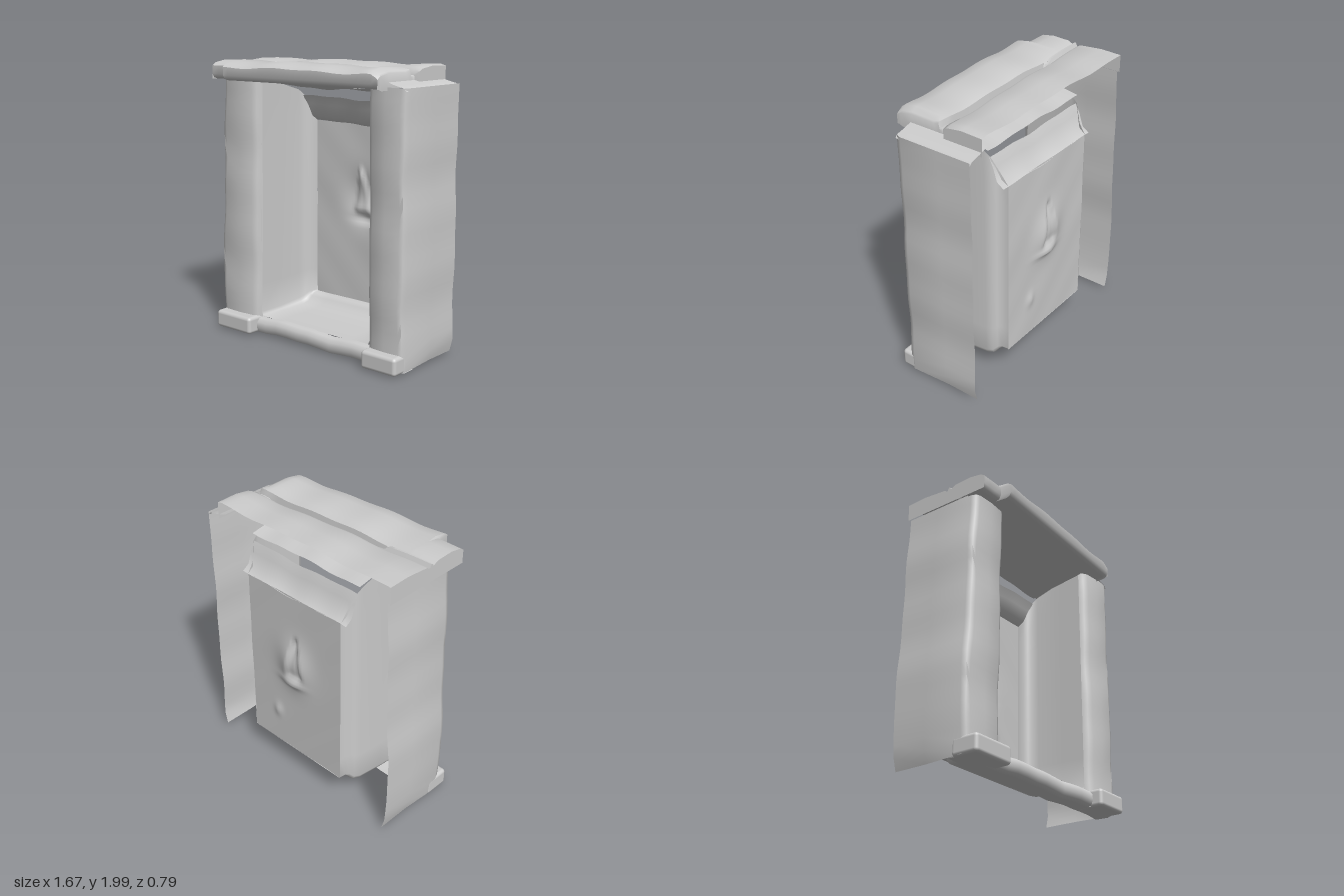
import * as THREE from 'three';
import { toCreasedNormals } from 'three/addons/utils/BufferGeometryUtils.js';
import { RoundedBoxGeometry } from 'three/addons/geometries/RoundedBoxGeometry.js';

const stone = new THREE.MeshStandardMaterial({ color: 0xcccccc, side: THREE.DoubleSide });
const lerp = THREE.MathUtils.lerp;
const smooth = THREE.MathUtils.smoothstep;

// Skin a list of equal-length point rows
function loft(name, rows, crease = 0.9) {
  const n = rows[0].length, index = [];
  for (let i = 0; i < rows.length - 1; i++) {
    for (let j = 0; j < n - 1; j++) {
      const a = i * n + j, b = a + n;
      index.push(a, b, a + 1, b, b + 1, a + 1);
    }
  }
  const g = new THREE.BufferGeometry();
  g.setAttribute('position', new THREE.Float32BufferAttribute(rows.flat(2), 3));
  g.setIndex(index);
  g.computeVertexNormals();
  const mesh = new THREE.Mesh(toCreasedNormals(g, crease), stone);
  mesh.name = name;
  return mesh;
}

const range = (a, b, n) => Array.from({ length: n + 1 }, (_, i) => lerp(a, b, i / n));
const wave = (t, s) => 0.006 * Math.sin(t * 7 + s) + 0.004 * Math.sin(t * 15 + s * 2.3);

// Upright: outer wall wrapping round to the front face and its inner edge
function pillar(name, outerAt, innerAt, seed) {
  return loft(name, range(0.02, 1.86, 22).map(y => {
    const o = outerAt(y) + wave(y, seed) * 0.8, i = innerAt(y), d = Math.sign(o);
    const f = 0.235 + wave(y, seed + 1) * 0.7;
    const tuck = 0.02 * (1 - smooth(y, 0.02, 0.09));
    return [[o - d * tuck, y, -0.35], [o - d * tuck, y, -0.1], [o, y, 0.19], [o - d * 0.012, y, 0.225],
      [o - d * 0.04, y, f], [(o + i) / 2, y, f + 0.005], [i + d * 0.05, y, f - 0.005],
      [i + d * 0.015, y, f - 0.025], [i, y, 0.17]];
  }), 1.1);
}

// Roof: back slab, groove and projecting front lintel in one profile
function roof() {
  const profile = x => {
    const t = (x + 0.45) / 1.0;
    const groove = 0.09 * smooth(x, -0.47, -0.38) * (1 - 0.35 * smooth(x, 0.55, 0.6));
    const back = lerp(-0.015, -0.055, t), front = lerp(0.025, 0.005, t);
    const f = x < -0.615 ? 0.32 : lerp(0.4, 0.34, (x + 0.61) / 1.29);
    const top = 1.975 + wave(x, 2);
    const end = 0.03 * smooth(x, 0.62, 0.69);
    return [[x, top, -0.355], [x, top + 0.005, -0.2], [x, top - 0.01, back - 0.03],
      [x, top - 0.025, back], [x, top - groove, back + 0.012], [x, top - groove, front - 0.012],
      [x, top - 0.02, front], [x, top - end, front + 0.04], [x, top + 0.005 - end, f - 0.12],
      [x, top - 0.01 - end, f - 0.03], [x, top - 0.03 - end, f], [x, 1.885, f],
      [x, 1.86, f - 0.015], [x, 1.85, f - 0.04], [x, 1.85, 0.17]];
  };
  const flat = row => row.map(([x, , z]) => [x, 1.85, z]);
  const xs = [...range(-0.8, -0.62, 3), ...range(-0.61, 0.68, 30)];
  const rows = xs.map(profile);
  // Right end: the slab runs a little past the lintel
  const last = profile(0.68).map(([x, y, z], k) => [k < 4 ? 0.72 : x + 0.01, y - 0.01, z]);
  return loft('roofSlabAndLintel', [flat(rows[0]), ...rows, last, flat(last)], 0.8);
}

// Recess walls: U-shaped rings narrowing towards the back panel
function recess() {
  const rings = [
    [0.18, -0.46, 0.52, 0.13, 1.85, 0.03], [0.0, -0.455, 0.52, 0.135, 1.82, 0.03],
    [-0.2, -0.45, 0.515, 0.145, 1.76, 0.04], [-0.25, -0.44, 0.505, 0.16, 1.72, 0.04],
    [-0.275, -0.42, 0.485, 0.195, 1.66, 0.03], [-0.3, -0.405, 0.465, 0.215, 1.6, 0.015],
    [-0.35, -0.4, 0.46, 0.22, 1.53, 0.01],
  ];
  return loft('recessWalls', rings.map(([z, l, r, b, t, c]) => {
    const row = range(t, b + c, 8).map(y => [l - 0.02 * (1 - y / 1.85) * (z + 0.35) / 0.5, y, z]);
    const l0 = row[8][0];
    row.push([l0 + c * 0.3, b + c * 0.3, z]);
    range(l0 + c, r - c, 6).forEach(x => row.push([x, b, z]));
    row.push([r - c * 0.3, b + c * 0.3, z]);
    range(b + c, t, 8).forEach(y => row.push([r, y, z]));
    return row;
  }), 1.0);
}

// Back panel with a face-like hollow pressed out to the rear
function panel() {
  const bell = (x, y, cx, cy, w, h) => Math.exp(-(((x - cx) / w) ** 2) - (((y - cy) / h) ** 2));
  const depth = (x, y) => {
    const mound = 0.052 * bell(x, y, 0.03, 0.98, 0.13, 0.17);
    const half = 0.015 + 0.06 * THREE.MathUtils.clamp((1.2 - y) / 0.32, 0, 1);
    const nose = 0.03 * (1 - smooth(Math.abs(x - 0.02), half * 0.5, half * 1.3))
      * smooth(y, 0.86, 0.91) * (1 - smooth(y, 1.14, 1.24));
    const lips = 0.022 * bell(x, y, 0.05, 0.83, 0.1, 0.025);
    const chip = 0.014 * bell(x, y, 0.21, 0.5, 0.035, 0.05);
    return -0.348 - mound + nose - lips - chip + 0.25 * wave(x + y, 1);
  };
  return loft('backPanel', range(0.22, 1.53, 60).map(y =>
    range(-0.4, 0.46, 44).map(x => [x, y, depth(x, y)])), 1.2);
}

// Strip running across x from a (z, y) profile
const strip = (name, x0, x1, profile, seed, crease) => loft(name, range(x0, x1, 16).map(x =>
  profile.map(([z, y]) => [x, y + wave(x * 1.3, seed), z])), crease);

function foot(name, x0, x1, z1) {
  const mesh = new THREE.Mesh(new RoundedBoxGeometry(x1 - x0, 0.125, 0.2, 3, 0.025), stone);
  mesh.name = name;
  mesh.position.set((x0 + x1) / 2, 0.075, z1 - 0.1);
  return mesh;
}

export function createModel() {
  const model = new THREE.Group();
  model.name = 'stoneNiche';
  model.add(
    pillar('rightPillar', y => y < 0.4 ? lerp(-0.82, -0.835, y / 0.4) : lerp(-0.835, -0.78, (y - 0.4) / 1.45),
      y => lerp(-0.48, -0.455, y / 1.85), 0.5),
    pillar('leftPillar', () => 0.828, y => lerp(0.53, 0.52, y / 1.85), 2.1),
    // Shoulder of the left pillar beside the roof slab
    loft('pillarTop', [0.66, 0.74, 0.81, 0.83].map((x, i) =>
      range(-0.35, 0.23, 6).map(z => [x, [1.9, 1.875, 1.86, 1.84][i], z]))),
    roof(),
    recess(),
    panel(),
    // Soffit under the lintel, then an open slot above the recess top
    strip('soffit', -0.455, 0.52, [[0.2, 1.845], [0.1, 1.83], [-0.1, 1.8], [-0.24, 1.775]], 1),
    strip('recessTop', -0.445, 0.51, [[-0.24, 1.715], [-0.27, 1.65], [-0.3, 1.56], [-0.35, 1.525]], 4),
    strip('sill', -0.8, 0.81, [[0.17, 0.13], [0.205, 0.125], [0.23, 0.1], [0.235, 0.06],
      [0.22, 0.025], [0.18, 0.012], [0.08, 0.015]], 3, 1.2),
    foot('rightFoot', -0.82, -0.48, 0.315),
    foot('leftFoot', 0.54, 0.825, 0.305),
  );
  return model;
}
